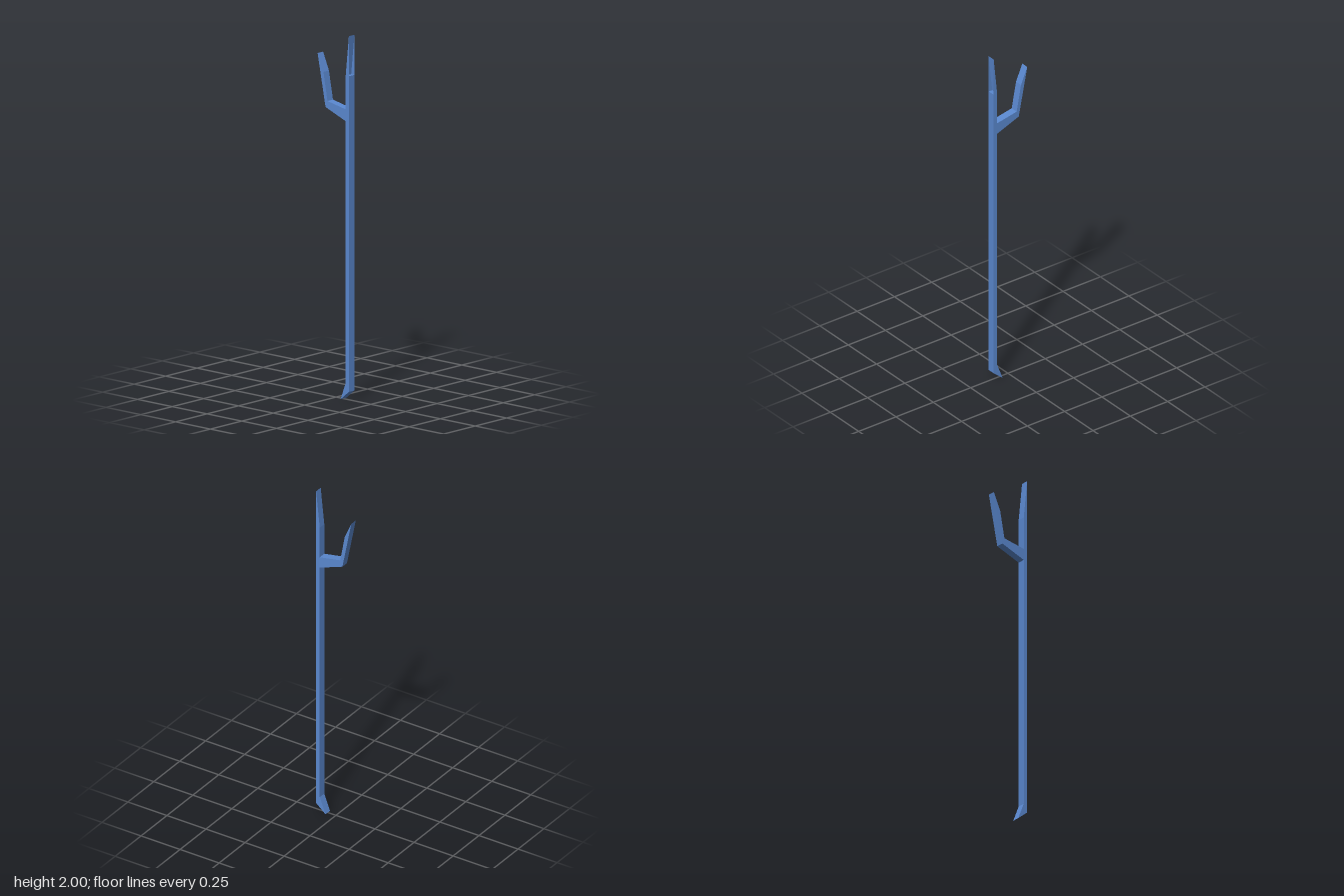
import * as THREE from 'three';

const HALF_WIDTH = 0.022;
const FRONT = 0.112, BACK = 0.089, TIP_BASE = 1.78;
const blue = new THREE.MeshStandardMaterial({ color: 0x5a88cf, flatShading: true, side: THREE.DoubleSide });

// Side outline given as [z, y] points, extruded across the width.
function slab(name, outline) {
  const shape = new THREE.Shape(outline.map(([z, y]) => new THREE.Vector2(z, y)));
  const geometry = new THREE.ExtrudeGeometry(shape, { depth: 2 * HALF_WIDTH, bevelEnabled: false });
  geometry.translate(0, 0, -HALF_WIDTH).rotateY(-Math.PI / 2);
  const mesh = new THREE.Mesh(geometry, blue);
  mesh.name = name;
  return mesh;
}

// Tapering tip: a sloped back and two side triangles, open at the front.
function openTip() {
  const corners = [];
  for (const x of [-HALF_WIDTH, HALF_WIDTH]) {
    corners.push(x, TIP_BASE, FRONT, x, TIP_BASE, BACK, x, 2, FRONT);
  }
  const geometry = new THREE.BufferGeometry();
  geometry.setAttribute('position', new THREE.Float32BufferAttribute(corners, 3));
  geometry.setIndex([0, 2, 1, 3, 4, 5, 1, 2, 5, 1, 5, 4]);
  const flat = geometry.toNonIndexed();
  flat.computeVertexNormals();
  const mesh = new THREE.Mesh(flat, blue);
  mesh.name = 'tip';
  return mesh;
}

export function createModel() {
  const model = new THREE.Group();
  model.name = 'forkedPole';

  // Long shaft with its slanted foot
  model.add(slab('shaft', [
    [FRONT, 0.05], [0.052, 0], [BACK, 0.095], [BACK, TIP_BASE], [FRONT, TIP_BASE],
  ]));
  model.add(openTip());

  // Side branch and the pointed prong rising from it
  model.add(slab('branch', [[BACK, 1.53], [-0.056, 1.585], [-0.042, 1.62], [BACK, 1.595]]));
  model.add(slab('prong', [[-0.056, 1.585], [-0.113, 1.872], [-0.071, 1.775], [-0.042, 1.62]]));
  return model;
}
